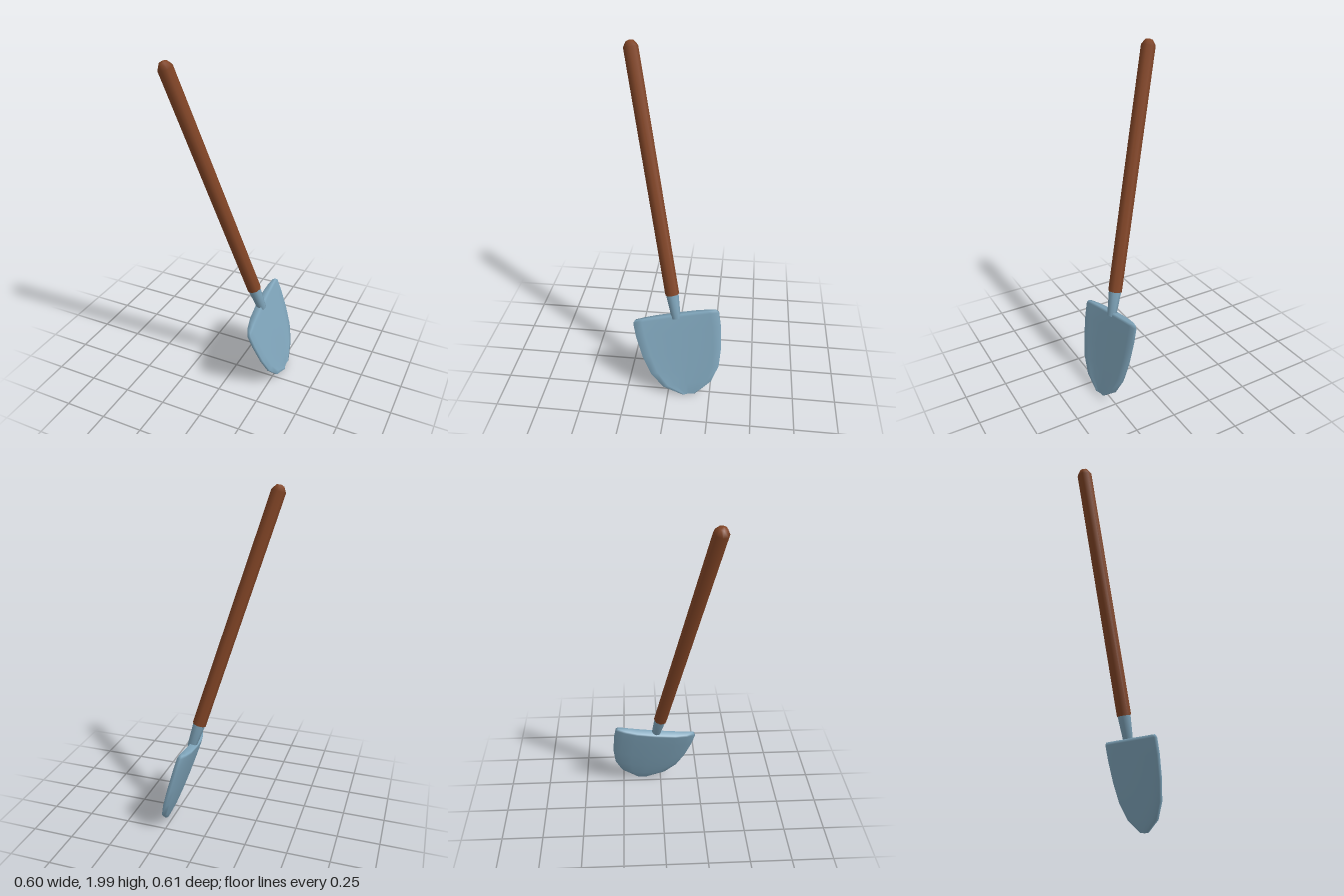
import * as THREE from 'three';

const wood = new THREE.MeshStandardMaterial({ color: 0x824526 });
wood.name = 'brown wood';
const steel = new THREE.MeshStandardMaterial({ color: 0x80a6bc });
steel.name = 'blue steel';

// Round part along the tool's axis, from [radius, height] pairs
function turned(name, profile, material, sides = 8) {
  const points = profile.map(([r, y]) => new THREE.Vector2(r, y));
  const mesh = new THREE.Mesh(new THREE.LatheGeometry(points, sides), material);
  mesh.name = name;
  return mesh;
}

// Blade: closed loops stacked from tip to top, nearly flat in front and bulging behind
function bladeGeometry() {
  // height, half width, depth of the bulge, front edge depth
  const rows = [
    [0.01, 0.035, -0.006, 0.013],
    [0.078, 0.144, -0.016, 0.016],
    [0.172, 0.205, -0.023, 0.018],
    [0.285, 0.236, -0.029, 0.019],
    [0.42, 0.254, -0.033, 0.02],
    [0.506, 0.256, -0.034, 0.02],
    [0.522, 0.242, -0.033, 0.018],
  ];
  const columns = [-1, -0.8, -0.5, 0, 0.5, 0.8, 1];
  const n = columns.length;
  const loop = 2 * n;
  const positions = [];
  const index = [];
  for (const [y, half, bulge, edge] of rows) {
    for (const c of columns) positions.push(c * half, y, edge - 0.008 * (1 - c * c));
    for (const c of [...columns].reverse()) {
      positions.push(c * half, y, bulge * (1 - Math.abs(c) ** 3));
    }
  }
  const quad = (a, b, c, d) => index.push(a, b, c, a, c, d);
  for (let i = 0; i < rows.length - 1; i++) {
    for (let j = 0; j < loop; j++) {
      const k = (j + 1) % loop;
      quad(i * loop + j, i * loop + k, (i + 1) * loop + k, (i + 1) * loop + j);
    }
  }
  // Top rim and tip caps
  const top = (rows.length - 1) * loop;
  for (let k = 0; k < n - 1; k++) {
    quad(top + k, top + k + 1, top + loop - 2 - k, top + loop - 1 - k);
    quad(loop - 1 - k, loop - 2 - k, k + 1, k);
  }
  const geometry = new THREE.BufferGeometry();
  geometry.setAttribute('position', new THREE.Float32BufferAttribute(positions, 3));
  geometry.setIndex(index);
  geometry.computeVertexNormals();
  return geometry;
}

export function createModel() {
  const group = new THREE.Group();
  group.name = 'shovel';

  const tool = new THREE.Group();
  tool.name = 'leaningShovel';

  const blade = new THREE.Mesh(bladeGeometry(), steel);
  blade.name = 'blade';
  tool.add(blade);

  tool.add(turned('socket', [[0, 0.49], [0.027, 0.5], [0.038, 0.66]], steel));
  tool.add(turned('handle', [[0, 0.65], [0.041, 0.65], [0.042, 2.07], [0.022, 2.1], [0, 2.106]], wood));

  // Lean the tool along its axis, with the blade's front turned towards +x
  const up = new THREE.Vector3(-0.55, 1.97, 0.395).normalize();
  const across = new THREE.Vector3(-0.088, 0.177, -0.98);
  const front = across.clone().cross(up).normalize();
  across.crossVectors(up, front);
  tool.quaternion.setFromRotationMatrix(new THREE.Matrix4().makeBasis(across, up, front));
  tool.position.set(0.285, 0, -0.13);

  group.add(tool);
  return group;
}
